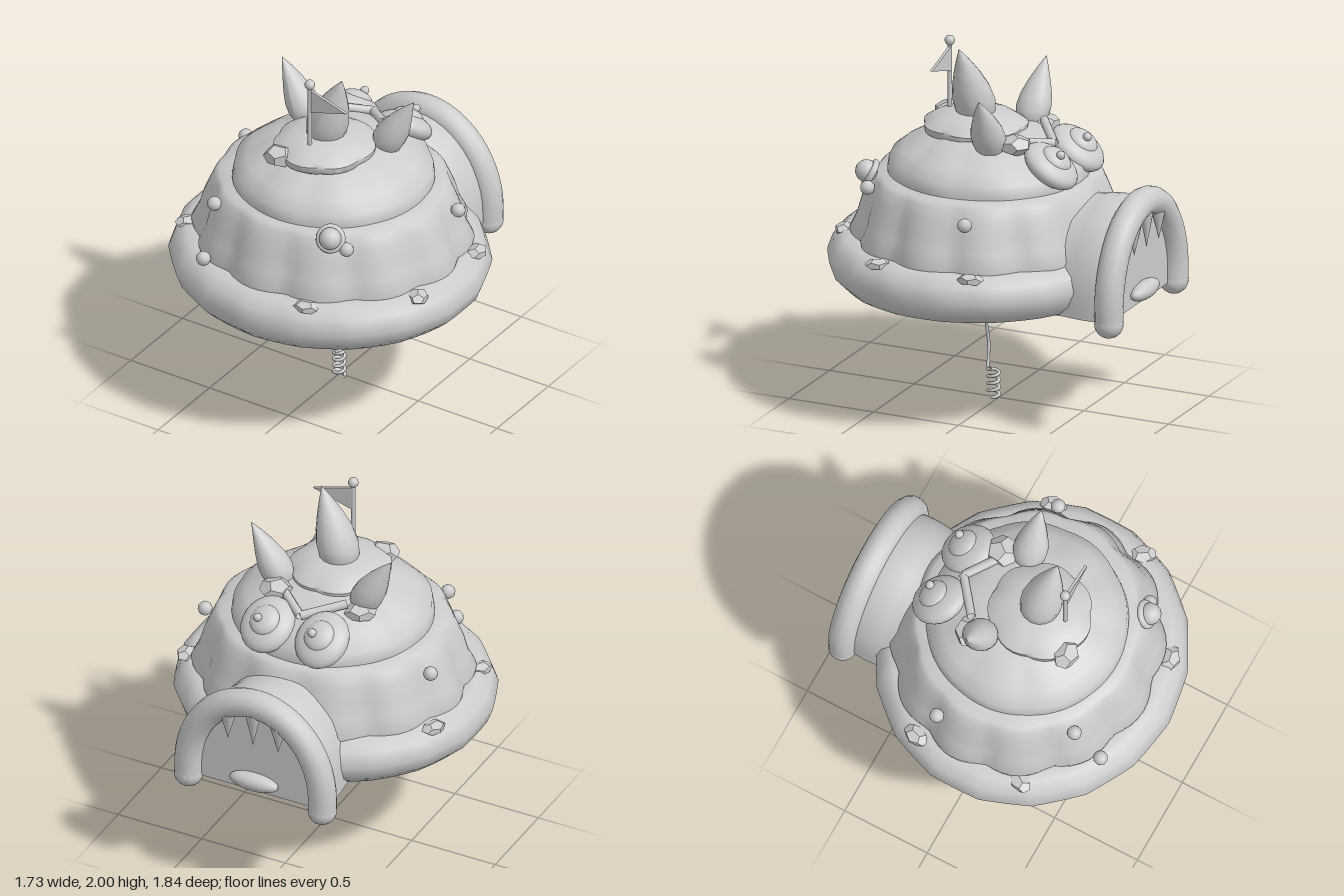
import * as THREE from 'three';
import { mergeVertices, toCreasedNormals } from 'three/addons/utils/BufferGeometryUtils.js';

const clay = new THREE.MeshStandardMaterial({ color: 0xcccccc, side: THREE.DoubleSide });
clay.name = 'plain grey clay';

export function createModel() {
  const root = new THREE.Group();
  const v = (x, y, z) => new THREE.Vector3(x, y, z);

  function add(name, geo, pos = [0, 0, 0], scale = [1, 1, 1], rot = [0, 0, 0], parent = root) {
    const m = new THREE.Mesh(geo, clay);
    m.name = name;
    m.position.set(...pos);
    m.scale.set(...scale);
    m.rotation.set(...rot);
    parent.add(m);
    return m;
  }

  // Lathe whose radius swells into lobes; strength is the third value of each profile point
  function lumpyLathe(profile, lobes, segs, phase = 0) {
    const geo = new THREE.LatheGeometry(profile.map(p => new THREE.Vector2(p[0], p[1])), segs);
    const pos = geo.attributes.position;
    for (let i = 0; i < pos.count; i++) {
      const amp = profile[i % profile.length][2] || 0;
      const a = Math.atan2(pos.getX(i), pos.getZ(i));
      const k = 1 + amp * (Math.abs(Math.cos(a * lobes / 2 + phase)) - 0.6);
      pos.setX(i, pos.getX(i) * k);
      pos.setZ(i, pos.getZ(i) * k);
    }
    geo.deleteAttribute('uv');
    geo.deleteAttribute('normal');
    return toCreasedNormals(mergeVertices(geo, 1e-4), 0.9);
  }

  // Body: rolled rim, two swollen tiers and a small cap
  add('rim', lumpyLathe([
    [0.65, 0.69], [0.70, 0.68], [0.79, 0.68, 0.01], [0.84, 0.73, 0.02], [0.87, 0.81, 0.02],
    [0.84, 0.89, 0.02], [0.78, 0.94, 0.01], [0.68, 0.94], [0.60, 0.92]], 18, 54), [0, 0, 0.09], [1, 1, 0.945]);
  const floor = add('underside', new THREE.CircleGeometry(0.66, 48), [0, 0.69, 0.09], [1, 0.945, 1], [Math.PI / 2, 0, 0]);
  floor.receiveShadow = false;
  add('lowerTier', lumpyLathe([
    [0.74, 0.90, 0.05], [0.75, 0.96, 0.06], [0.71, 1.04, 0.06], [0.69, 1.12, 0.05],
    [0.66, 1.20, 0.04], [0.635, 1.26, 0.03], [0.61, 1.285, 0.02], [0.50, 1.29]], 12, 96, 0.5), [0, 0, 0.065], [1, 1, 0.95]);
  add('upperTier', lumpyLathe([
    [0.54, 1.27], [0.54, 1.30, 0.01], [0.53, 1.36, 0.02], [0.46, 1.415, 0.04],
    [0.40, 1.45, 0.05], [0.34, 1.485, 0.04], [0.26, 1.515], [0, 1.53]], 9, 72, 0.3), [0, 0, 0.06]);
  add('cap', lumpyLathe([
    [0.24, 1.48], [0.265, 1.50, 0.06], [0.268, 1.535, 0.06], [0.25, 1.55, 0.04],
    [0.21, 1.575, 0.04], [0.15, 1.60], [0, 1.61]], 7, 42), [0, 0, 0.14], [1, 1, 1.04]);

  // Leaf-shaped horns that lean sideways toward the tip
  function horn(name, x, y, z, r, h, leanX, leanZ) {
    const prof = [[0.72, 0], [0.94, 0.13], [1, 0.28], [0.88, 0.46], [0.62, 0.66], [0.3, 0.85], [0, 1]];
    const geo = new THREE.LatheGeometry(prof.map(p => new THREE.Vector2(p[0] * r, p[1] * h)), 16);
    const pos = geo.attributes.position;
    for (let i = 0; i < pos.count; i++) {
      const t = pos.getY(i) / h, s = Math.pow(t, 1.6);
      pos.setX(i, pos.getX(i) + leanX * s);
      pos.setZ(i, pos.getZ(i) + leanZ * s);
    }
    geo.computeVertexNormals();
    add(name, geo, [x, y, z]);
  }
  horn('centreHorn', 0, 1.55, 0.135, 0.115, 0.43, 0.13, 0.04);
  for (const s of [-1, 1]) horn('sideHorn', s * 0.26, 1.48, -0.07, 0.095, 0.33, s * 0.16, -0.01);

  // Flag on a pole
  add('flagPole', new THREE.CylinderGeometry(0.012, 0.012, 0.42, 12), [0, 1.76, 0.29]);
  add('flagKnob', new THREE.SphereGeometry(0.028, 16, 12), [0, 1.972, 0.29]);
  const pennant = new THREE.Shape([[0, 1.94], [0, 1.80], [0.235, 1.87]].map(p => new THREE.Vector2(...p)));
  add('pennant', new THREE.ExtrudeGeometry(pennant, { depth: 0.016, bevelEnabled: false }), [0, 0, 0.28]);

  // Arched mouth at the back: throat block, thick lip, teeth, tongue
  const arch = [];
  for (let i = 0; i <= 24; i++) {
    const a = Math.PI * i / 24;
    arch.push([Math.cos(a) * 0.4, 0.74 + Math.sin(a) * 0.485]);
  }
  arch.unshift([0.4, 0.67]);
  arch.push([-0.4, 0.67]);
  const throatShape = new THREE.Shape(arch.map(p => new THREE.Vector2(...p)));
  const throat = new THREE.ExtrudeGeometry(throatShape, { depth: 0.53, steps: 12, bevelEnabled: false });
  const tp = throat.attributes.position;
  for (let i = 0; i < tp.count; i++) {
    const bulge = 1 + 0.035 * Math.sin(Math.min(1, (0.53 - tp.getZ(i)) / 0.27) * Math.PI);
    tp.setX(i, tp.getX(i) * bulge);
    if (tp.getY(i) > 0.7) tp.setY(i, 0.67 + (tp.getY(i) - 0.67) * bulge);
  }
  const throatMesh = add('throat', toCreasedNormals(throat, 0.7), [0, 0, -0.31]);
  throatMesh.rotation.y = Math.PI;
  const lipPath = new THREE.CatmullRomCurve3(arch.map(p => v(p[0], p[1], -0.84)));
  add('lip', new THREE.TubeGeometry(lipPath, 60, 0.078, 14));
  for (const s of [-1, 1]) add('lipEnd', new THREE.SphereGeometry(0.079, 18, 14), [s * 0.4, 0.67, -0.84]);
  for (const [x, y, h] of [[-0.15, 1.06, 0.16], [0, 1.08, 0.2], [0.15, 1.06, 0.16]])
    add('tooth', new THREE.ConeGeometry(0.045, h, 12), [x, y, -0.87], [1, 1, 0.8], [Math.PI, 0, 0]);
  add('tongue', new THREE.SphereGeometry(1, 20, 14), [0, 0.74, -0.86], [0.145, 0.05, 0.055], [0.3, 0, 0]);

  // Eyes looking up and back, with brows meeting in a V
  for (const s of [-1, 1]) {
    const eye = new THREE.Group();
    eye.name = 'eye';
    eye.position.set(s * 0.163, 1.415, -0.385);
    eye.rotation.x = -0.62;
    root.add(eye);
    const ball = new THREE.SphereGeometry(1, 24, 16);
    add('eyeball', ball, [0, 0, 0], [0.148, 0.075, 0.165], [0, 0, 0], eye);
    add('iris', ball, [0, 0.05, 0], [0.085, 0.05, 0.09], [0, 0, 0], eye);
    add('pupil', new THREE.SphereGeometry(0.024, 12, 10), [0.025, 0.105, -0.01], [1, 1, 1], [0, 0, 0], eye);

    const brow = new THREE.LineCurve3(v(0, 1.485, -0.325), v(s * 0.2, 1.53, -0.17));
    add('brow', new THREE.TubeGeometry(brow, 1, 0.024, 10));
  }

  // Faceted stones stuck to the surface
  function stone(x, y, z, sx, sy, sz, turn = 0) {
    const geo = new THREE.DodecahedronGeometry(1);
    add('stone', geo, [x, y, z], [sx, sy, sz], [0, turn, 0]);
  }
  stone(-0.27, 1.49, -0.15, 0.09, 0.045, 0.075, 0.4);
  stone(0.21, 1.52, -0.2, 0.09, 0.055, 0.09, 0.9);
  stone(-0.14, 1.52, 0.37, 0.09, 0.06, 0.075, 0.2);
  for (const [x, z, t] of [[-0.74, -0.21, 1.3], [0.75, -0.19, 1.7], [-0.7, 0.4, 1], [0.735, 0.36, -1], [0.29, 0.77, 0.2]])
    stone(x, 0.93, z, 0.075, 0.032, 0.055, t);

  // Small studs
  for (const [x, y, z] of [[-0.42, 1.23, 0.575], [0.42, 1.23, 0.575], [-0.395, 0.97, 0.72], [-0.675, 1.2, -0.12], [0.675, 1.2, -0.12]])
    add('stud', new THREE.IcosahedronGeometry(0.04, 1), [x, y, z]);

  // Ringed ball on the front
  const out = v(0.34, 0.45, 0.7).normalize();
  const ringed = new THREE.Group();
  ringed.name = 'ringedBall';
  ringed.position.set(0.34, 1.29, 0.61);
  ringed.quaternion.setFromUnitVectors(v(0, 0, 1), out);
  root.add(ringed);
  add('ball', new THREE.SphereGeometry(0.06, 18, 14), [0, 0, 0.01], [1, 1, 1], [0, 0, 0], ringed);
  add('ring', new THREE.TorusGeometry(0.062, 0.018, 10, 24), [0, 0, -0.015], [1, 1, 1], [0, 0, 0], ringed);

  // Dangling wire ending in a coil spring
  const wire = [v(0, 0.70, 0.055), v(0.005, 0.6, 0.065), v(0.008, 0.48, 0.075), v(-0.012, 0.38, 0.077), v(-0.02, 0.3, 0.07), v(0, 0.22, 0.062), v(0.02, 0.17, 0.055)];
  add('wire', new THREE.TubeGeometry(new THREE.CatmullRomCurve3(wire), 40, 0.009, 8));
  add('wireRoot', new THREE.SphereGeometry(0.02, 12, 8), [0, 0.68, 0.055], [1, 0.8, 1]);
  const coil = [];
  for (let i = 0; i <= 64; i++) {
    const a = i / 64 * Math.PI * 8;
    coil.push(v(0.014 + Math.cos(a) * 0.03, 0.17 - 0.16 * i / 64, 0.025 + Math.sin(a) * 0.03));
  }
  add('spring', new THREE.TubeGeometry(new THREE.CatmullRomCurve3(coil), 160, 0.009, 8));

  return root;
}
